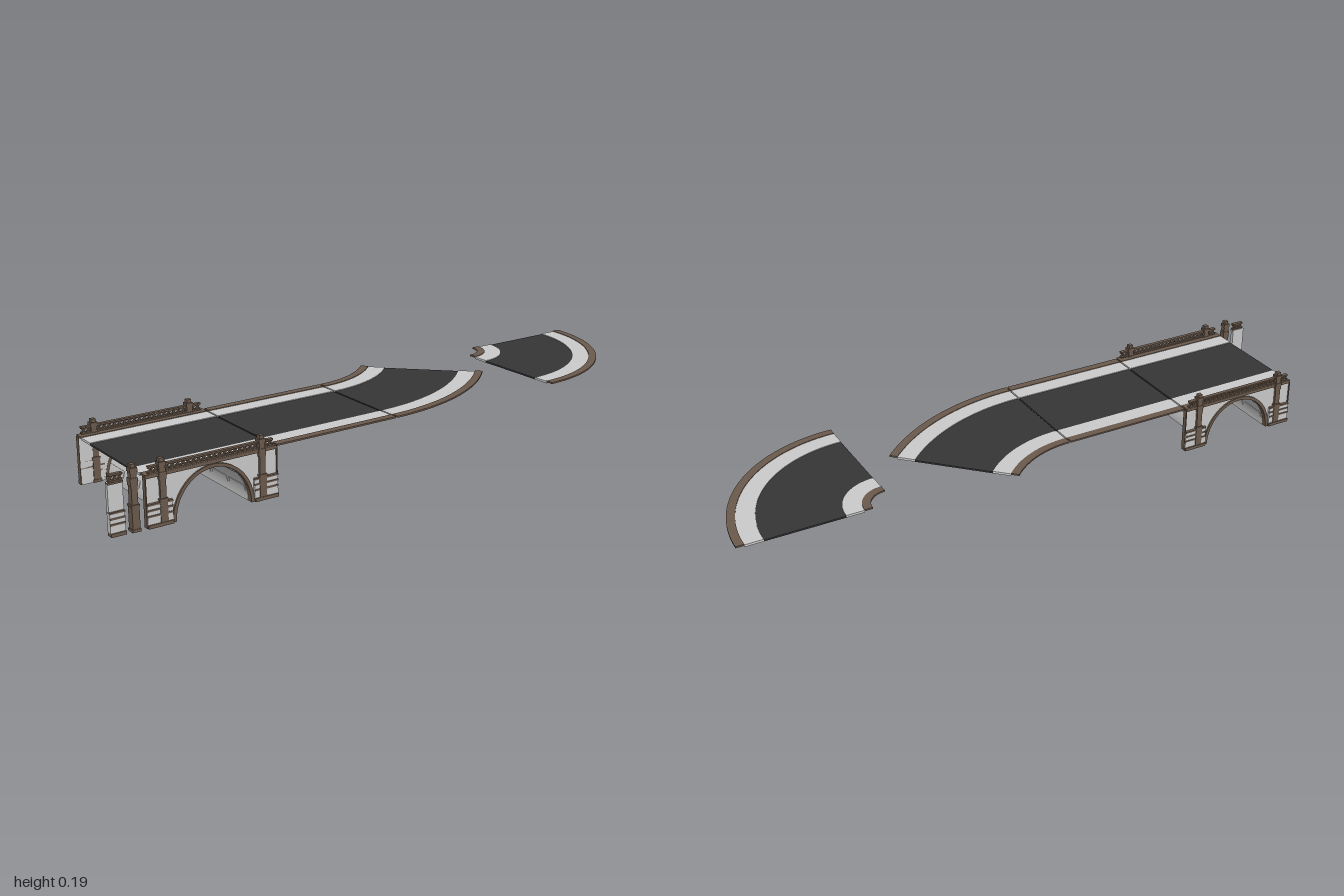
import * as THREE from 'three';

const stone = new THREE.MeshStandardMaterial({ color: 0xcccccc, side: THREE.DoubleSide });
const brown = new THREE.MeshStandardMaterial({ color: 0x6b5a4c, side: THREE.DoubleSide });
const asphalt = new THREE.MeshStandardMaterial({ color: 0x363636, side: THREE.DoubleSide });

const Z0 = 0.035; // road centre line
const HALF = 0.2;

function add(parent, name, geometry, material) {
  const mesh = new THREE.Mesh(geometry, material);
  mesh.name = name;
  parent.add(mesh);
  return mesh;
}

// Box given by its min and max on each axis
function block(parent, name, material, x0, x1, y0, y1, z0, z1) {
  const mesh = add(parent, name, new THREE.BoxGeometry(x1 - x0, y1 - y0, z1 - z0), material);
  mesh.position.set((x0 + x1) / 2, (y0 + y1) / 2, (z0 + z1) / 2);
  return mesh;
}

// Road strips: name, offsets across the road, bottom, top, material
const STRIPS = [
  ['innerCurb', -0.2, -0.175, 0.144, 0.149, brown],
  ['innerSidewalk', -0.175, -0.12, 0.14, 0.147, stone],
  ['roadway', -0.12, 0.12, 0.14, 0.145, asphalt],
  ['outerSidewalk', 0.12, 0.175, 0.14, 0.147, stone],
  ['outerCurb', 0.175, 0.2, 0.144, 0.149, brown],
];

function straightRoad(name, x0, x1) {
  const g = new THREE.Group();
  g.name = name;
  for (const [part, a, b, y0, y1, mat] of STRIPS) block(g, part, mat, x0, x1, y0, y1, Z0 + a, Z0 + b);
  return g;
}

// Curved road: sector of rings about a centre, from startAngle to +z
function curvedRoad(name, cx, cz, midRadius, startAngle) {
  const g = new THREE.Group();
  g.name = name;
  g.position.set(cx, 0, cz);
  for (const [part, a, b, y0, y1, mat] of STRIPS) {
    const s = new THREE.Shape();
    s.absarc(0, 0, midRadius + b, startAngle, Math.PI / 2, false);
    s.absarc(0, 0, midRadius + a, Math.PI / 2, startAngle, true);
    const geo = new THREE.ExtrudeGeometry(s, { depth: y1 - y0, bevelEnabled: false, curveSegments: 24 });
    geo.rotateX(Math.PI / 2);
    geo.translate(0, y1, 0);
    add(g, part, geo, mat);
  }
  return g;
}

const RX = 0.118, RY = 0.129; // arch opening

// Part of an elliptical ring following the arch, extruded along z
function archBand(parent, name, mat, a0, a1, inner, outer, z0, z1, segments = 32) {
  const s = new THREE.Shape();
  s.absellipse(0, 0, RX + outer, RY + outer, a0, a1, false, 0);
  s.absellipse(0, 0, RX + inner, RY + inner, a1, a0, true, 0);
  const geo = new THREE.ExtrudeGeometry(s, { depth: z1 - z0, bevelEnabled: false, curveSegments: segments });
  geo.translate(0, 0, z0);
  return add(parent, name, geo, mat);
}

// Stepped post with cap, centred on x = 0, z = 0
function post(name) {
  const g = new THREE.Group();
  g.name = name;
  const tiers = [
    [0.026, 0.026, 0, 0.008], [0.022, 0.023, 0.008, 0.07], [0.025, 0.025, 0.07, 0.076],
    [0.018, 0.019, 0.076, 0.128], [0.022, 0.02, 0.128, 0.15], [0.018, 0.017, 0.15, 0.167],
    [0.022, 0.02, 0.167, 0.178], [0.014, 0.014, 0.178, 0.188],
  ];
  for (const [w, d, y0, y1] of tiers) block(g, 'postTier', brown, -w / 2, w / 2, y0, y1, -d / 2, d / 2);
  return g;
}

// Banded masonry at the foot of a pier
function masonryBands(parent, x0, x1, z0, z1) {
  block(parent, 'pierFoot', brown, x0, x1, 0, 0.01, z0, z1 + 0.004);
  for (const y of [0.031, 0.047, 0.063])
    block(parent, 'pierBand', brown, x0, x1, y, y + 0.005, z0, z1 + 0.002);
  block(parent, 'pierBlock', stone, x0, x1, 0.01, 0.063, z0, z1);
}

// Top rail on a row of crossed bars
function railing(parent, x0, x1, z, count) {
  block(parent, 'topRail', brown, x0, x1, 0.166, 0.171, z - 0.006, z + 0.006);
  block(parent, 'bottomRail', brown, x0, x1, 0.149, 0.153, z - 0.006, z + 0.006);
  const step = (x1 - x0) / count;
  for (let i = 0; i < count; i++) {
    for (const sign of [-1, 1]) {
      const bar = add(parent, 'crossBar', new THREE.BoxGeometry(0.003, Math.hypot(step, 0.013), 0.005), brown);
      bar.position.set(x0 + (i + 0.5) * step, 0.1595, z);
      bar.rotation.z = sign * Math.atan2(step, 0.013);
    }
  }
}

// One face of the bridge, outward towards +z
function bridgeFace(name) {
  const g = new THREE.Group();
  g.name = name;
  const w = 0.203, zi = 0.191, zo = 0.202;
  const s = new THREE.Shape();
  s.moveTo(-w, 0);
  s.lineTo(-RX, 0);
  s.absellipse(0, 0, RX, RY, Math.PI, 0, true, 0);
  s.lineTo(w, 0);
  s.lineTo(w, 0.144);
  s.lineTo(-w, 0.144);
  const wall = new THREE.ExtrudeGeometry(s, { depth: zo - zi, bevelEnabled: false, curveSegments: 32 });
  wall.translate(0, 0, zi);
  add(g, 'spandrelWall', wall, stone);
  archBand(g, 'archTrim', brown, 0, Math.PI, -0.001, 0.009, zi - 0.001, zo + 0.005);
  block(g, 'cornice', brown, -w, w, 0.139, 0.149, zi, zo + 0.004);
  for (const side of [-1, 1]) {
    const p = post('railPost');
    p.position.set(side * 0.154, 0, 0.2);
    g.add(p);
    const [a, b] = [side * 0.127, side * w].sort((m, n) => m - n);
    masonryBands(g, a, b, zi, 0.209);
    const e = side * w;
    block(g, 'endStrip', brown, e - 0.0015, e + 0.0015, 0, 0.144, zi, zo + 0.004);
  }
  railing(g, -0.192, 0.192, 0.199, 24);
  return g;
}

function bridge() {
  const g = new THREE.Group();
  g.name = 'bridge';
  g.position.set(-0.692, 0, Z0);
  const front = bridgeFace('frontFace');
  const back = bridgeFace('backFace');
  back.rotation.y = Math.PI;
  g.add(front, back);
  // Vault with raised panels inside and out
  archBand(g, 'vault', stone, 0, Math.PI, -0.002, 0.001, -0.19, 0.19, 48);
  const rad = Math.PI / 180;
  for (const angle of [17, 50, 82, 98, 130, 163]) {
    for (let i = 0; i < 4; i++) {
      const z = -0.142 + i * 0.0947;
      archBand(g, 'vaultPanel', stone, (angle - 4.5) * rad, (angle + 4.5) * rad,
        -0.0035, 0.0025, z - 0.041, z + 0.041, 4);
    }
  }
  return g;
}

// Loose pier with a piece of rail on top
function loosePier() {
  const g = new THREE.Group();
  g.name = 'loosePier';
  block(g, 'pierShaft', stone, -0.022, 0.022, 0, 0.149, -0.008, 0.004);
  masonryBands(g, -0.022, 0.022, -0.008, 0.009);
  block(g, 'pierCap', brown, -0.022, 0.022, 0.144, 0.149, -0.008, 0.008);
  railing(g, -0.018, 0.022, 0, 3);
  g.position.set(-0.978, 0, 0.228);
  return g;
}

export function createModel() {
  const model = new THREE.Group();
  model.name = 'roadAndBridgeKit';
  model.add(bridge(), loosePier());
  const single = post('loosePost');
  single.position.set(-0.928, 0, 0.232);
  model.add(single);
  model.add(straightRoad('bridgeDeck', -0.895, -0.489));
  model.add(straightRoad('straightRoad', -0.484, -0.07));
  model.add(curvedRoad('gentleCurve', -0.065, Z0 - 0.517, 0.517, Math.PI / 4));
  model.add(curvedRoad('tightCurve', 0.534, -0.212, 0.066 + HALF, 0));
  return model;
}
